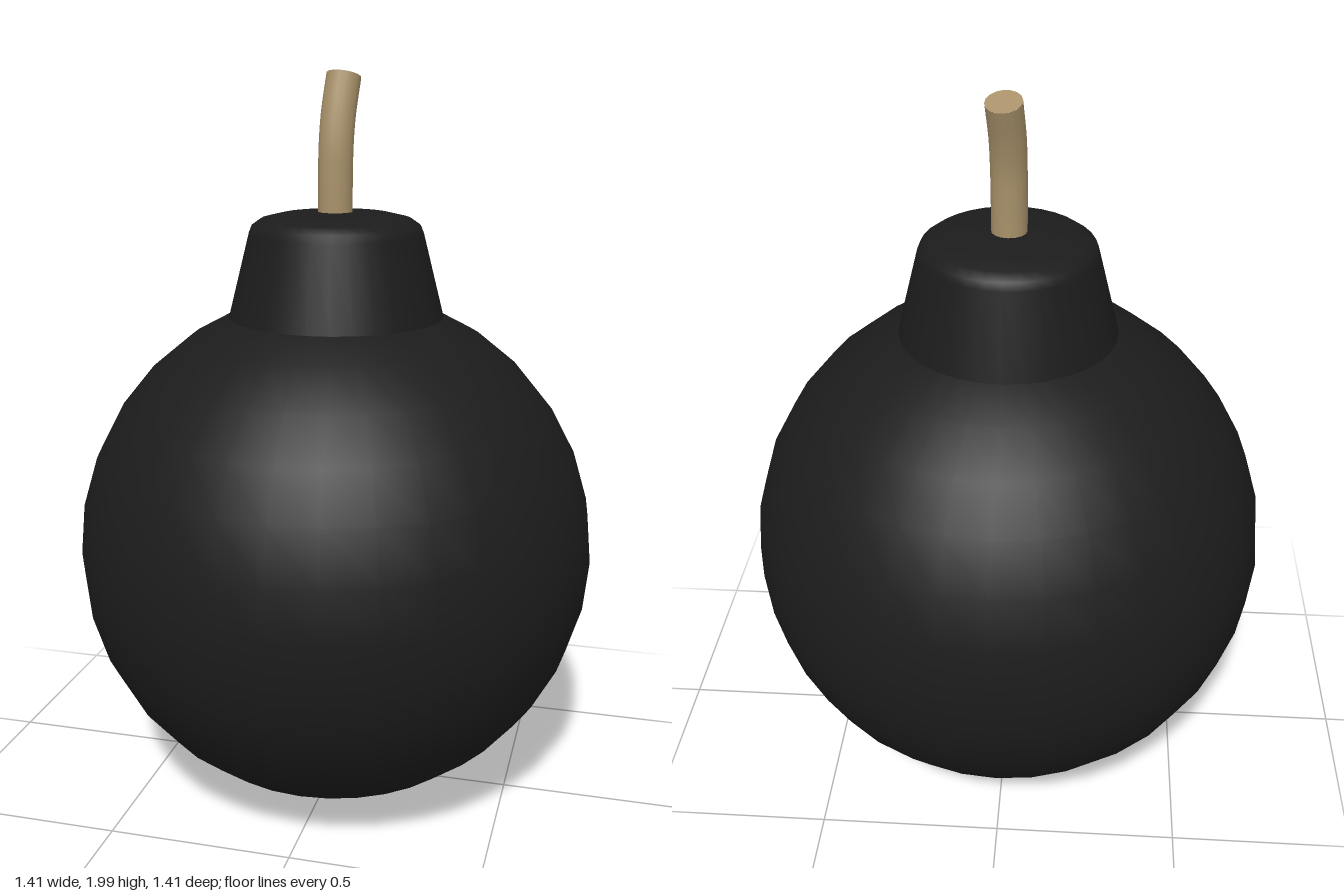
import * as THREE from 'three';

const V = (x, y, z) => new THREE.Vector3(x, y, z);

export function createModel() {
  const model = new THREE.Group();
  const iron = new THREE.MeshStandardMaterial({ color: 0x1c1c1c });
  const cord = new THREE.MeshStandardMaterial({ color: 0xa8916a });

  const add = (name, geometry, material, parent = model) => {
    const mesh = new THREE.Mesh(geometry, material);
    mesh.name = name;
    parent.add(mesh);
    return mesh;
  };

  // Round body
  add('body', new THREE.SphereGeometry(0.707, 32, 16), iron).position.y = 0.71;

  // Tapered neck with a softened rim and slightly domed top
  const profile = [
    [0.305, 1.28], [0.288, 1.355], [0.232, 1.575], [0.224, 1.595],
    [0.2, 1.612], [0.15, 1.624], [0.08, 1.63], [0, 1.631],
  ].map(([r, y]) => new THREE.Vector2(r, y));
  add('neck', new THREE.LatheGeometry(profile, 32), iron);

  // Fuse: a cord that bends backwards near its tip
  const fuse = new THREE.Group();
  fuse.name = 'fuse';
  model.add(fuse);
  const radius = 0.046;
  const path = new THREE.CatmullRomCurve3([
    V(-0.002, 1.58, 0), V(-0.002, 1.7, 0), V(-0.001, 1.8, -0.004),
    V(0.001, 1.88, -0.02), V(0.008, 1.976, -0.05),
  ]);
  add('fuseCord', new THREE.TubeGeometry(path, 16, radius, 16), cord, fuse);

  // Flat cut end, square to the cord
  const tip = add('fuseTip', new THREE.CircleGeometry(radius, 16), cord, fuse);
  tip.position.copy(path.getPointAt(1));
  tip.quaternion.setFromUnitVectors(V(0, 0, 1), path.getTangentAt(1));

  return model;
}
